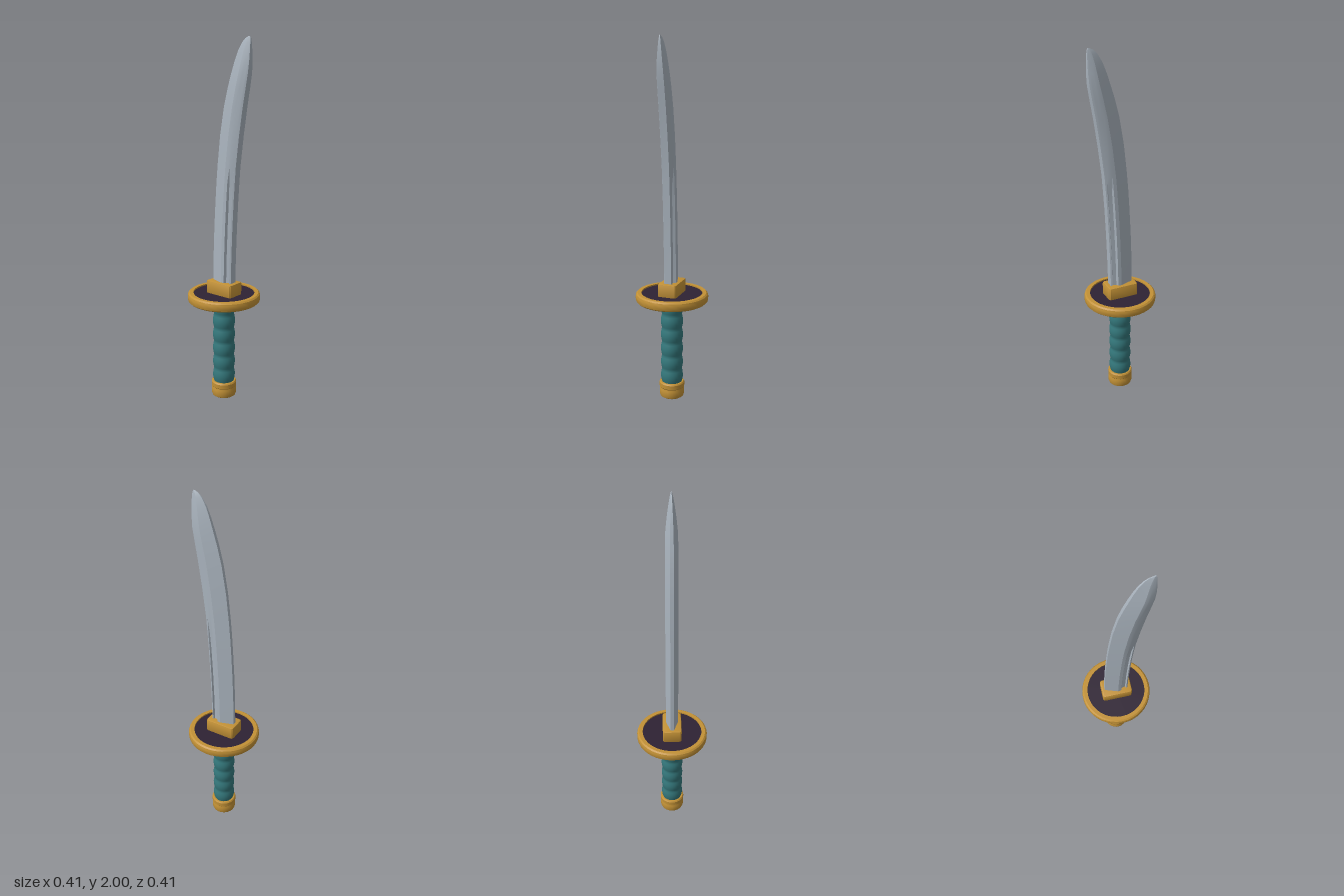
import * as THREE from 'three';
import { toCreasedNormals } from 'three/addons/utils/BufferGeometryUtils.js';

const gold = new THREE.MeshStandardMaterial({ color: 0xc29136 });
gold.name = 'gold';
const teal = new THREE.MeshStandardMaterial({ color: 0x34787c });
teal.name = 'teal wrap';
const plum = new THREE.MeshStandardMaterial({ color: 0x2e2233 });
plum.name = 'dark plum';
const steel = new THREE.MeshStandardMaterial({ color: 0xaab4be });
steel.name = 'steel';

function add(group, name, geometry, material) {
  const mesh = new THREE.Mesh(geometry, material);
  mesh.name = name;
  group.add(mesh);
  return mesh;
}

// Turned part from [radius, height] pairs, listed bottom to top along the outside
function turned(profile, sides = 32, crease = 0.5) {
  const points = profile.map(([r, y]) => new THREE.Vector2(r, y));
  return toCreasedNormals(new THREE.LatheGeometry(points, sides), crease);
}

// Curved blade: octagonal sections with a groove on both flanks near the spine
function bladeGeometry() {
  // height, cutting edge x, spine x, thickness factor, groove depth
  const rows = [
    [0.66, -0.07, 0.064, 1, 0.012],
    [0.85, -0.066, 0.069, 1, 0.012],
    [1.0, -0.06, 0.075, 1, 0.012],
    [1.15, -0.051, 0.083, 1, 0.011],
    [1.25, -0.044, 0.09, 1, 0.008],
    [1.34, -0.036, 0.097, 1, 0],
    [1.5, -0.018, 0.117, 1, 0],
    [1.65, 0.008, 0.14, 0.98, 0],
    [1.75, 0.034, 0.158, 0.95, 0],
    [1.82, 0.056, 0.17, 0.88, 0],
    [1.88, 0.076, 0.175, 0.7, 0],
    [1.93, 0.096, 0.176, 0.5, 0],
    [1.97, 0.12, 0.175, 0.3, 0],
    [1.99, 0.14, 0.173, 0.17, 0],
    [2.0, 0.16, 0.17, 0.08, 0],
  ];
  // One flank from edge to spine: fraction of width, half thickness, groove share
  const flank = [
    [0, 0.01, 0], [0.56, 0.035, 0], [0.7, 0.033, 0],
    [0.75, 0.031, 1], [0.9, 0.026, 1], [0.94, 0.024, 0], [1, 0.02, 0],
  ];
  const ring = [
    ...flank.map((p) => [...p, 1]),
    ...flank.slice().reverse().map((p) => [...p, -1]),
  ];
  const n = ring.length;
  const positions = [];
  const index = [];
  rows.forEach(([y, edge, spine, thick, groove], r) => {
    ring.forEach(([t, half, share, side], i) => {
      const x = edge + (spine - edge) * t;
      positions.push(x, y, side * (half * thick - share * groove));
      if (r === 0) return;
      const a = (r - 1) * n + i;
      const b = (r - 1) * n + ((i + 1) % n);
      index.push(a, b, b + n, a, b + n, a + n);
    });
  });
  // Tip cap
  const top = (rows.length - 1) * n;
  for (let i = 1; i < n - 1; i++) index.push(top, top + i, top + i + 1);

  const geometry = new THREE.BufferGeometry();
  geometry.setAttribute('position', new THREE.Float32BufferAttribute(positions, 3));
  geometry.setIndex(index);
  return toCreasedNormals(geometry, 0.3);
}

// Collar block with rounded corners and a small bevel
function collarGeometry() {
  const w = 0.08, d = 0.046, r = 0.008;
  const shape = new THREE.Shape();
  shape.moveTo(-w + r, -d);
  shape.lineTo(w - r, -d);
  shape.quadraticCurveTo(w, -d, w, -d + r);
  shape.lineTo(w, d - r);
  shape.quadraticCurveTo(w, d, w - r, d);
  shape.lineTo(-w + r, d);
  shape.quadraticCurveTo(-w, d, -w, d - r);
  shape.lineTo(-w, -d + r);
  shape.quadraticCurveTo(-w, -d, -w + r, -d);
  const geometry = new THREE.ExtrudeGeometry(shape, {
    depth: 0.071, bevelEnabled: true, bevelSize: 0.008,
    bevelThickness: 0.008, bevelSegments: 2, curveSegments: 3,
  });
  geometry.rotateX(-Math.PI / 2);
  return toCreasedNormals(geometry, 0.5);
}

export function createModel() {
  const group = new THREE.Group();
  group.name = 'curvedSword';

  // Pommel with a narrow waist line
  add(group, 'pommel', turned([
    [0, 0], [0.054, 0], [0.066, 0.008], [0.07, 0.02], [0.07, 0.05],
    [0.067, 0.056], [0.067, 0.06], [0.071, 0.065], [0.071, 0.088],
    [0.066, 0.095], [0, 0.095],
  ]), gold);

  // Grip with six swells of wrapping
  const grip = [];
  const steps = 48;
  for (let i = 0; i <= steps; i++) {
    const t = i / steps;
    const swell = Math.abs(Math.sin(t * Math.PI * 6));
    grip.push([0.056 + 0.007 * swell, 0.09 + 0.49 * t]);
  }
  add(group, 'grip', turned(grip, 24, 0.9), teal);

  // Guard: gold rim around a dark plate
  add(group, 'guardRim', turned([
    [0.171, 0.574], [0.192, 0.574], [0.2, 0.581], [0.203, 0.59], [0.203, 0.61],
    [0.2, 0.619], [0.192, 0.626], [0.171, 0.626], [0.171, 0.574],
  ], 40), gold);
  const plate = add(group, 'guardPlate', new THREE.CylinderGeometry(0.172, 0.172, 0.036, 40), plum);
  plate.position.y = 0.6;

  // Thin ring where the grip meets the guard
  add(group, 'gripRing', turned([
    [0.05, 0.572], [0.074, 0.572], [0.078, 0.576], [0.078, 0.585],
  ]), gold);

  // Blade collar and blade
  const collar = add(group, 'bladeCollar', collarGeometry(), gold);
  collar.position.y = 0.61;
  add(group, 'blade', bladeGeometry(), steel);

  return group;
}
